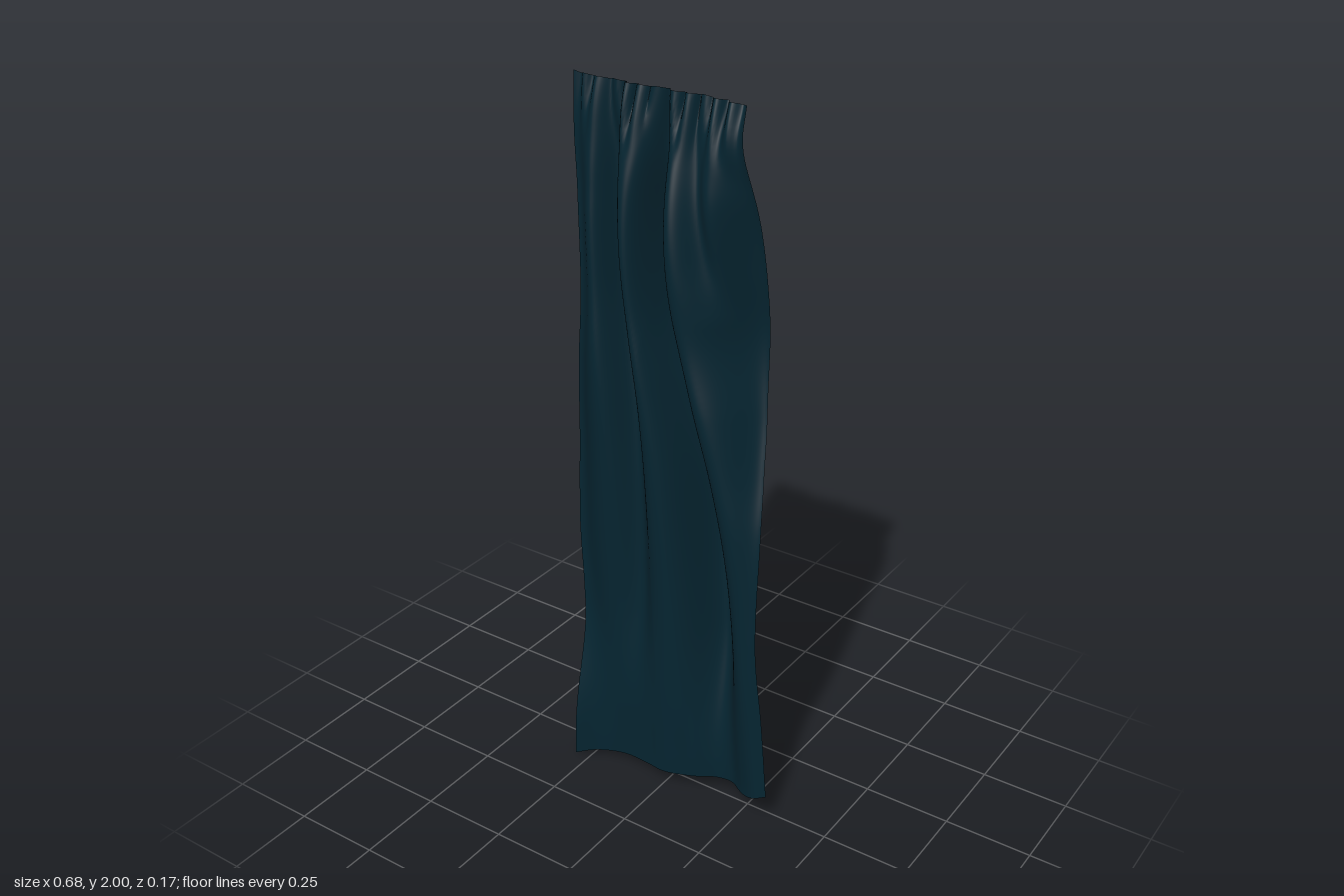
import * as THREE from 'three';

// Smooth curve through [position, value] pairs
function curve(...pairs) {
  const spline = new THREE.CubicInterpolant(pairs.map(p => p[0]), pairs.map(p => p[1]), 1, [0]);
  return t => spline.evaluate(t)[0];
}

// Side edges of the cloth, by height
const leftX = curve([0, -0.295], [0.4, -0.295], [0.55, -0.31], [0.75, -0.333], [1.1, -0.335], [1.25, -0.325], [1.47, -0.307], [1.7, -0.322], [1.85, -0.335], [2, -0.335]);
const rightX = curve([0.1, 0.338], [0.35, 0.315], [0.55, 0.29], [0.9, 0.28], [1.1, 0.255], [1.3, 0.232], [1.6, 0.225], [1.75, 0.215], [1.85, 0.2], [2, 0.19]);
const leftZ = curve([0, 0.088], [0.3, 0.035], [0.6, 0], [1, -0.03], [1.3, -0.02], [1.5, -0.015], [1.75, -0.035], [2, -0.05]);
const rightZ = curve([0.1, 0.05], [0.6, 0.045], [0.9, 0.02], [1.05, -0.02], [1.2, -0.06], [1.4, -0.087], [1.57, -0.068], [1.7, -0.045], [1.8, -0.02], [1.92, 0.005], [2, -0.02]);

// How far the right edge curls into the cloth, by height
const rightCurl = curve([0.6, 0.08], [1, 0.09], [1.2, 0.12], [1.4, 0.2], [1.55, 0.21], [1.75, 0.16], [2, 0.08]);

// Front of the cloth between the folds, by height
const faceZ = curve([0, 0.065], [0.6, 0.064], [1, 0.073], [1.4, 0.087], [1.6, 0.083], [1.75, 0.058], [1.9, 0.006], [2, -0.035]);

// Hem, across the width
const hemY = curve([0, 0.003], [0.1, 0.02], [0.25, 0.04], [0.5, 0.05], [0.75, 0.057], [0.9, 0.075], [1, 0.1]);
const hemZ = curve([0, 0.088], [0.07, 0.063], [0.23, 0.047], [0.39, 0.057], [0.47, 0.062], [0.6, 0.037], [0.7, 0.004], [0.78, 0.004], [0.87, 0.042], [0.94, 0.058], [1, 0.05]);

// Long folds that drift sideways as they fall, by height: path in x, depth, half width
const folds = [
  { // middle
    x: curve([0, 0.165], [0.5, 0.135], [0.8, 0.105], [1.02, 0.07], [1.24, 0.02], [1.45, -0.03], [1.66, -0.052], [2, -0.055]),
    depth: curve([0, 0.075], [0.3, 0.113], [0.6, 0.138], [0.85, 0.153], [1.2, 0.138], [1.45, 0.16], [1.7, 0.15], [1.85, 0.085], [2, 0.01]),
    w: curve([0, 0.065], [0.6, 0.065], [1, 0.055], [1.5, 0.042], [2, 0.03]),
  },
  { // right side, running into the heading
    x: curve([1.45, 0.135], [1.6, 0.095], [1.82, 0.06], [2, 0.05]),
    depth: curve([1.45, 0], [1.6, 0.045], [1.8, 0.045], [2, 0.01]),
    w: curve([1.4, 0.035], [2, 0.03]),
  },
  { // left side
    x: curve([0.3, -0.1], [0.7, -0.105], [1.15, -0.13], [1.5, -0.175], [2, -0.21]),
    depth: curve([0.2, 0], [0.6, 0.05], [1, 0.075], [1.5, 0.11], [1.75, 0.09], [2, 0.01]),
    w: curve([0.5, 0.055], [1, 0.048], [1.5, 0.04], [2, 0.03]),
  },
];

export function createModel() {
  const group = new THREE.Group();
  group.name = 'curtain';

  const geometry = new THREE.PlaneGeometry(1, 1, 140, 110);
  const pos = geometry.attributes.position;
  for (let i = 0; i < pos.count; i++) {
    const u = pos.getX(i) + 0.5;
    const v = pos.getY(i) + 0.5;
    let y = hemY(u) + (2 - hemY(u)) * v;
    let x = THREE.MathUtils.lerp(leftX(y), rightX(y), u);

    // Front face, lower toward the left, cut by the folds
    let z = faceZ(y) - 0.08 * Math.max(0, 0.45 - u) * THREE.MathUtils.smoothstep(2 - y, 0, 0.3);
    for (const f of folds) z -= f.depth(y) * Math.exp(-(((x - f.x(y)) / f.w(y)) ** 2));

    // Curl to both side edges
    const l = Math.exp(-((u / 0.11) ** 2));
    const r = Math.exp(-(((1 - u) / rightCurl(y)) ** 2));
    z = THREE.MathUtils.lerp(z, leftZ(y), l);
    z = THREE.MathUtils.lerp(z, rightZ(y), r);

    // Settle into the hem
    z = THREE.MathUtils.lerp(hemZ(u), z, THREE.MathUtils.smoothstep(v, 0, 0.25));

    // Gathered heading with uneven pleats
    const gather = THREE.MathUtils.smoothstep(y, 1.82, 2);
    const phase = u * Math.PI * 24 + 0.9 * Math.sin(u * 17);
    z += gather * (1 - 0.7 * l) * (0.011 + 0.004 * Math.sin(u * 23)) * Math.cos(phase);
    x += 0.005 * gather * Math.sin(phase) * Math.sin(u * Math.PI);
    y -= 0.003 * gather ** 6 * (1 - Math.cos(phase));
    pos.setXYZ(i, x, y, z);
  }
  geometry.computeVertexNormals();

  const cloth = new THREE.Mesh(geometry, new THREE.MeshStandardMaterial({ color: 0x052430, side: THREE.DoubleSide }));
  cloth.name = 'curtainPanel';
  group.add(cloth);
  return group;
}
